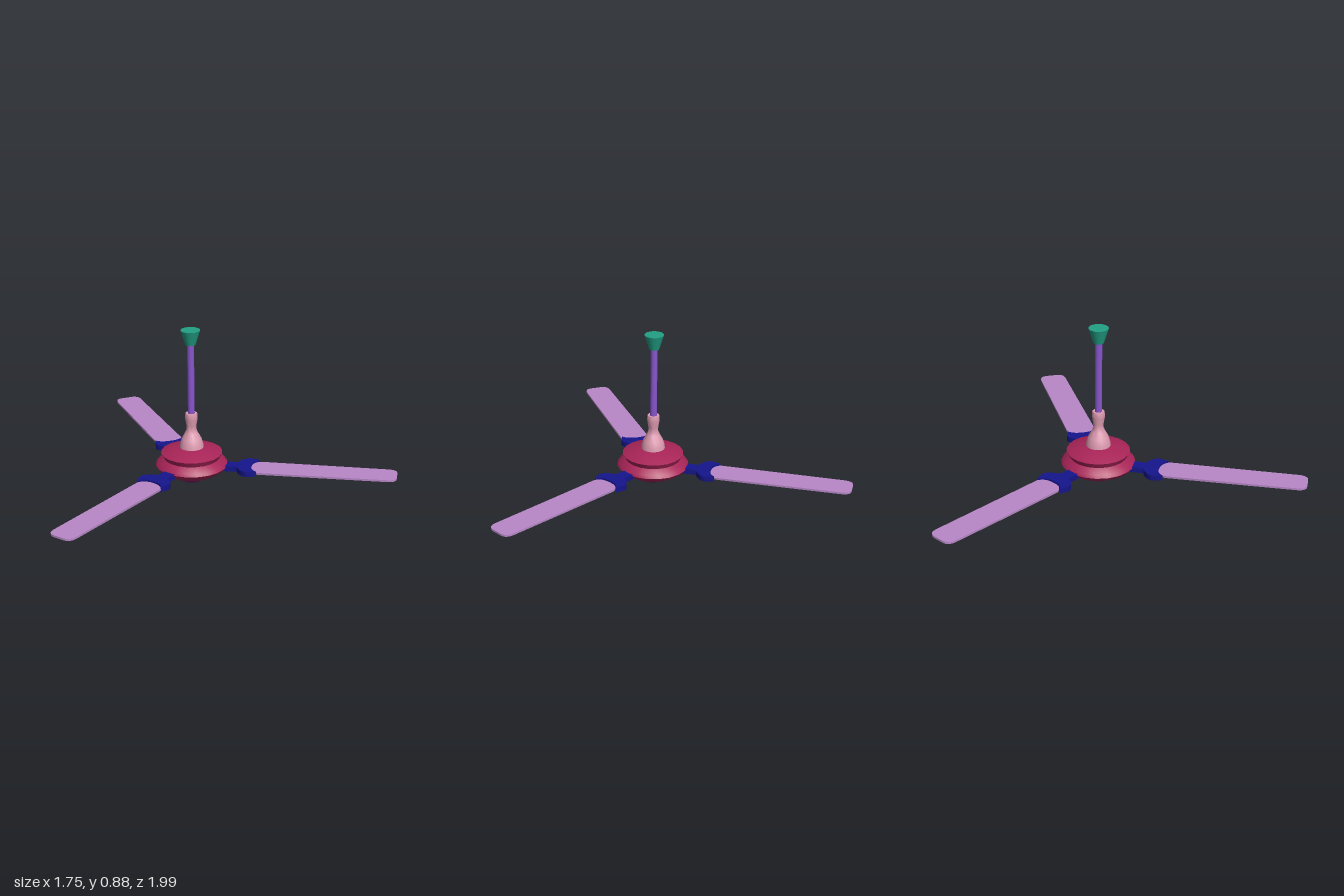
import * as THREE from 'three';
import { toCreasedNormals } from 'three/addons/utils/BufferGeometryUtils.js';

const paint = (color) => new THREE.MeshStandardMaterial({ color });
const deg = THREE.MathUtils.degToRad;

function addMesh(parent, name, geometry, material) {
  const mesh = new THREE.Mesh(geometry, material);
  mesh.name = name;
  parent.add(mesh);
  return mesh;
}

// Revolve [radius, height] pairs, listed from bottom to top
function turned(profile, sides, crease = 0.5) {
  const points = profile.map(([r, y]) => new THREE.Vector2(r, y));
  return toCreasedNormals(new THREE.LatheGeometry(points, sides), crease);
}

// Flat plate from a plan outline, centred on y = 0
function plate(shape, thickness) {
  const g = new THREE.ExtrudeGeometry(shape, { depth: thickness, bevelEnabled: false, curveSegments: 8 });
  g.translate(0, 0, -thickness / 2);
  g.rotateX(-Math.PI / 2);
  return toCreasedNormals(g, 0.6);
}

// Long blade with a bowed root and rounded tip, running along +x
function bladeShape(length) {
  const w = 0.078, tip = 0.074;
  const s = new THREE.Shape();
  s.moveTo(0.045, -w);
  s.lineTo(length - 0.055, -tip);
  s.quadraticCurveTo(length, -tip, length, -0.028);
  s.lineTo(length, 0.028);
  s.quadraticCurveTo(length, tip, length - 0.055, tip);
  s.lineTo(0.045, w);
  s.quadraticCurveTo(0, w * 0.8, 0, 0);
  s.quadraticCurveTo(0, -w * 0.8, 0.045, -w);
  return s;
}

// Arm that flares into a crescent holding the blade root
function bracketShape() {
  const s = new THREE.Shape();
  s.moveTo(0.15, -0.034);
  s.lineTo(0.255, -0.034);
  s.quadraticCurveTo(0.275, -0.09, 0.315, -0.098);
  s.lineTo(0.368, -0.082);
  s.quadraticCurveTo(0.332, -0.062, 0.332, 0);
  s.quadraticCurveTo(0.332, 0.062, 0.368, 0.082);
  s.lineTo(0.315, 0.098);
  s.quadraticCurveTo(0.275, 0.09, 0.255, 0.034);
  s.lineTo(0.15, 0.034);
  s.closePath();
  return s;
}

export function createModel() {
  const model = new THREE.Group();
  model.name = 'ceilingFan';

  const fan = new THREE.Group();
  fan.name = 'fan';
  fan.position.set(-0.25, 0, -0.022);
  model.add(fan);

  // Motor housing
  addMesh(fan, 'motorHousing', turned([
    [0, 0.045], [0.112, 0.045], [0.185, 0.088], [0.2, 0.108], [0.19, 0.124],
    [0.155, 0.148], [0.17, 0.177], [0.09, 0.207], [0, 0.207],
  ], 20), paint(0xa82458));

  // Domed cap underneath
  const dome = [];
  for (let i = 0; i <= 8; i++) {
    const a = (i / 8) * Math.PI / 2;
    dome.push([0.082 * Math.sin(a), 0.052 - 0.052 * Math.cos(a)]);
  }
  addMesh(fan, 'bottomCap', turned(dome, 20), paint(0x5a1a88));

  // Bell-shaped collar over the motor
  addMesh(fan, 'collar', turned([
    [0.067, 0.2], [0.064, 0.225], [0.054, 0.258], [0.036, 0.29], [0.027, 0.312],
    [0.028, 0.335], [0.034, 0.37], [0.035, 0.39], [0.032, 0.405], [0, 0.405],
  ], 20, 0.8), paint(0xdd9ab0));

  // Down rod and ceiling canopy
  const rod = addMesh(fan, 'downRod', new THREE.CylinderGeometry(0.019, 0.019, 0.42, 20), paint(0x8855cc));
  rod.position.y = 0.6;
  const canopy = addMesh(fan, 'ceilingCanopy', new THREE.CylinderGeometry(0.053, 0.028, 0.082, 20), paint(0x22a085));
  canopy.position.y = 0.839;

  // Three arms; each blade sits at a slightly different angle
  const bladePaint = paint(0xb888c8);
  const bracketPaint = paint(0x15158c);
  const bracketGeometry = plate(bracketShape(), 0.03);
  const arms = [
    { bracket: 0, root: 0, blade: 0, length: 0.8 },
    { bracket: 120.8, root: 120.5, blade: 121.5, length: 0.785 },
    { bracket: -119, root: -118.2, blade: -115.5, length: 0.785 },
  ];
  for (const arm of arms) {
    const bracket = addMesh(fan, 'bladeBracket', bracketGeometry, bracketPaint);
    bracket.position.y = 0.1;
    bracket.rotation.y = deg(arm.bracket);

    const blade = addMesh(fan, 'blade', plate(bladeShape(arm.length), 0.011), bladePaint);
    const a = deg(arm.root);
    blade.position.set(0.33 * Math.cos(a), 0.1, -0.33 * Math.sin(a));
    blade.rotation.y = deg(arm.blade);
  }
  return model;
}
